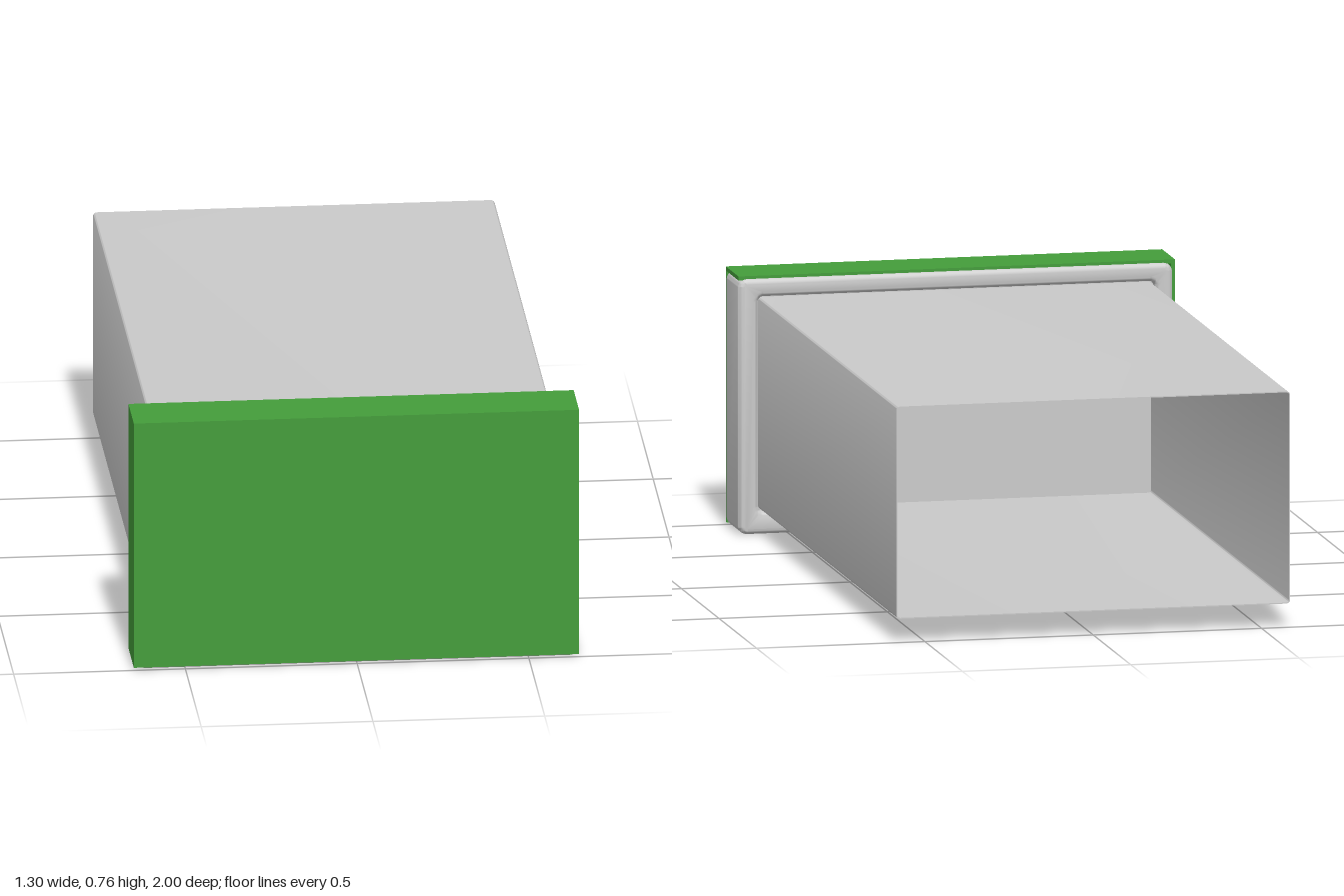
import * as THREE from 'three';
import { toCreasedNormals } from 'three/addons/utils/BufferGeometryUtils.js';

const grey = new THREE.MeshStandardMaterial({ color: 0xcccccc });
const green = new THREE.MeshStandardMaterial({ color: 0x449d3b });

// Rounded rectangle outline, usable as a shape or a hole
function roundedRect(path, x0, x1, y0, y1, r) {
  path.absarc(x1 - r, y0 + r, r, -Math.PI / 2, 0);
  path.absarc(x1 - r, y1 - r, r, 0, Math.PI / 2);
  path.absarc(x0 + r, y1 - r, r, Math.PI / 2, Math.PI);
  path.absarc(x0 + r, y0 + r, r, Math.PI, Math.PI * 1.5);
  path.closePath();
  return path;
}

export function createModel() {
  const model = new THREE.Group();
  const add = (name, geometry, material) => {
    const mesh = new THREE.Mesh(geometry, material);
    mesh.name = name;
    model.add(mesh);
  };
  const box = (name, material, x0, x1, y0, y1, z0, z1) => {
    const g = new THREE.BoxGeometry(x1 - x0, y1 - y0, z1 - z0);
    g.translate((x0 + x1) / 2, (y0 + y1) / 2, (z0 + z1) / 2);
    add(name, g, material);
  };

  // Thin-walled sleeve, open at the back
  const sleeve = roundedRect(new THREE.Shape(), -0.585, 0.585, 0.07, 0.695, 0.012);
  sleeve.holes.push(roundedRect(new THREE.Path(), -0.582, 0.582, 0.073, 0.692, 0.009));
  const sleeveGeo = new THREE.ExtrudeGeometry(sleeve, { depth: 1.85, bevelEnabled: false, curveSegments: 5 });
  sleeveGeo.translate(0, 0, -1);
  add('sleeve', toCreasedNormals(sleeveGeo, 0.7), grey);

  // Cap rim with rounded edges, fitting closely round the sleeve
  const r = 0.016;
  const rim = roundedRect(new THREE.Shape(), -0.642, 0.648, 0, 0.752, 0.012 + r);
  rim.holes.push(roundedRect(new THREE.Path(), -0.589, 0.589, 0.066, 0.699, 0.016));
  const rimGeo = new THREE.ExtrudeGeometry(rim, {
    depth: 0.177 - 2 * r, bevelThickness: r, bevelSize: r, bevelOffset: -r,
    bevelSegments: 5, curveSegments: 6,
  });
  rimGeo.translate(0, 0, 0.818 + r);
  add('capRim', toCreasedNormals(rimGeo, 0.7), grey);

  // Plate closing the sleeve inside the cap
  box('capPlate', grey, -0.6, 0.6, 0.055, 0.71, 0.845, 0.985);

  // Coloured panels on the front, the top and one side of the cap
  box('frontPanel', green, -0.65, 0.646, 0.008, 0.76, 0.988, 1);
  box('topPanel', green, -0.65, 0.646, 0.748, 0.76, 0.83, 0.999);
  box('sidePanel', green, -0.65, -0.638, 0.008, 0.759, 0.83, 0.999);

  return model;
}
